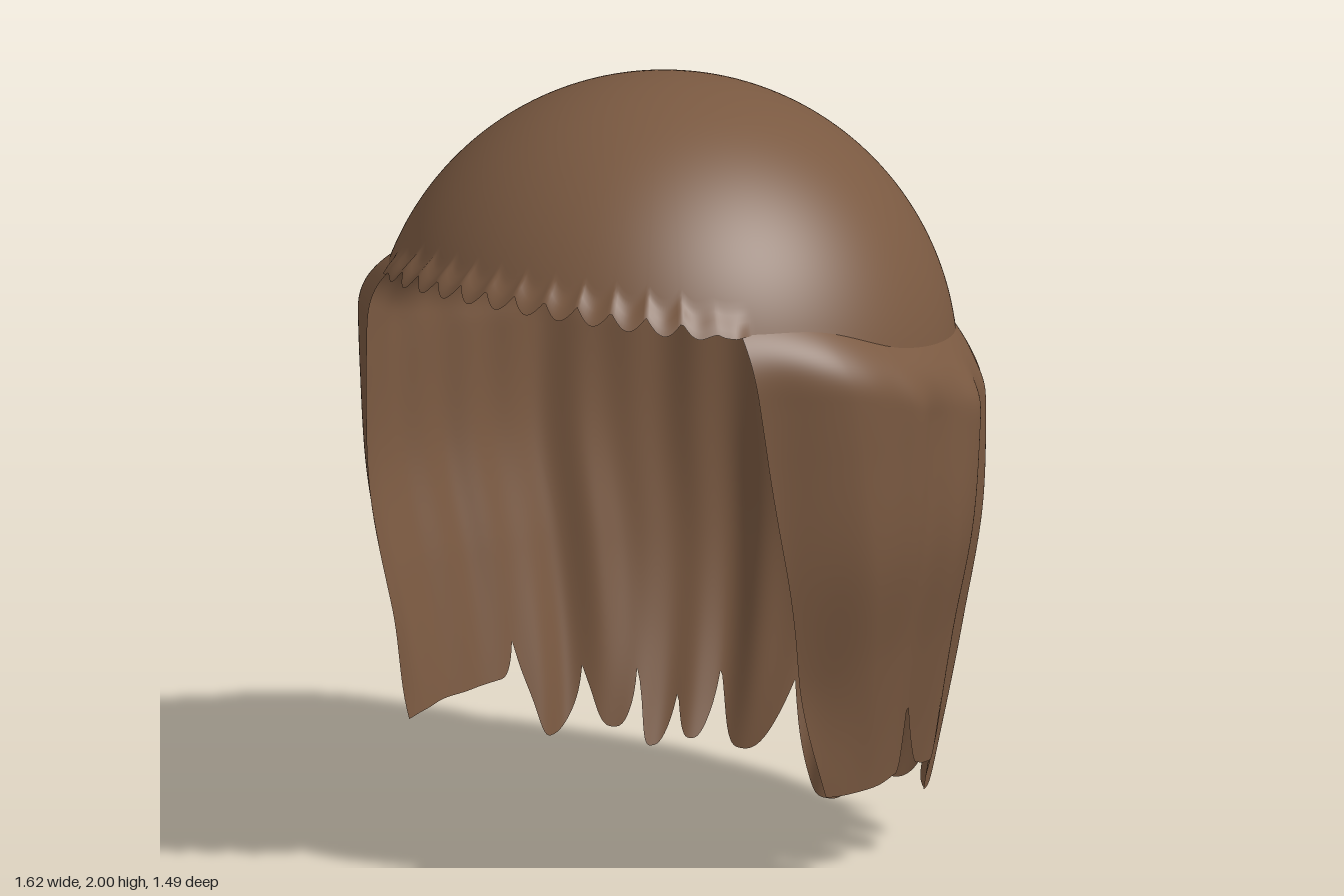
import * as THREE from 'three';
import { mergeVertices } from 'three/addons/utils/BufferGeometryUtils.js';

const { smoothstep, lerp, clamp } = THREE.MathUtils;
const CAP_R = 0.74, CAP_Y = 1.26, CAP_Z = 0.046, MID_Z = 0.03, FRONT_PHI = 2.24;

// Smooth lookup in a list of [key, value] pairs with rising keys
function profile(list) {
  const cubic = new THREE.CubicInterpolant(list.map((p) => p[0]), list.map((p) => p[1]), 1);
  const first = list[0][0], last = list[list.length - 1][0];
  return (k) => cubic.evaluate(clamp(k, first, last))[0];
}

// Smooth sheet from a rule (s, t) -> [x, y, z]; t runs downwards
function sheet(ns, nt, rule) {
  const pos = [], index = [];
  for (let i = 0; i <= ns; i++)
    for (let j = 0; j <= nt; j++) pos.push(...rule(i / ns, j / nt));
  for (let i = 0; i < ns; i++)
    for (let j = 0; j < nt; j++) {
      const a = i * (nt + 1) + j, b = a + nt + 1;
      index.push(a, a + 1, b, b, a + 1, b + 1);
    }
  let g = new THREE.BufferGeometry();
  g.setAttribute('position', new THREE.Float32BufferAttribute(pos, 3));
  g.setIndex(index);
  g = mergeVertices(g, 1e-5);
  g.computeVertexNormals();
  return g;
}

// Height where cap and curtain meet, from the back (0) to the front corners (1)
const crease = profile([[0, 1.31], [0.3, 1.335], [0.5, 1.365], [0.7, 1.42], [0.86, 1.51], [1, 1.53]]);

// Arched raised section on the back of the cap; phi is measured from the back
function bump(phi, y) {
  const across = 1 - smoothstep(Math.abs(phi + 0.02), 0.34, 0.64);
  const size = 0.06 + 0.01 * smoothstep(phi, -0.1, 0.4) + 0.004 * Math.sin(phi * 15);
  const top = 1.8 - 0.2 * (phi / 0.65) ** 2;
  return across * size * smoothstep(y, 1.3, 1.4) * (1 - smoothstep(y, top - 0.14, top));
}

// Domed cap with a small-toothed fringe along the front
function cap(s, t) {
  const psi = (s * 2 - 1) * Math.PI, a = Math.abs(psi);
  const phi = psi > 0 ? Math.PI - psi : -Math.PI - psi;
  const front = 1 - smoothstep(a, 0.84, 0.92);
  const teeth = (0.022 - 0.037 * Math.abs(Math.sin(psi * 24))) * (1 - smoothstep(a, 0.65, 0.85));
  const fringe = 1.58 - 0.055 * Math.min(1, a / 0.85) ** 2 + teeth;
  const edge = lerp(crease(Math.abs(phi) / FRONT_PHI) - 0.005, fringe, front);
  const polar = t * Math.acos((edge - CAP_Y) / CAP_R);
  const y = CAP_Y + CAP_R * Math.cos(polar);
  const flare = front * smoothstep(t, 0.92, 1) * (0.022 - 0.06 * teeth);
  const r = CAP_R * Math.sin(polar) + bump(phi, y) + flare;
  return [r * Math.sin(psi), y, CAP_Z + r * Math.cos(psi)];
}

// Curtain section sizes by height
const halfWidth = profile([[0, 0.635], [0.3, 0.672], [0.6, 0.725], [0.9, 0.788], [1.2, 0.8], [1.55, 0.8]]);
const halfDepth = profile([[0, 0.56], [0.2, 0.645], [0.4, 0.71], [0.6, 0.748], [0.9, 0.76], [1.55, 0.76]]);
const frontEdge = profile([[0, 0.2], [0.2, 0.225], [0.3, 0.265], [0.4, 0.3], [0.7, 0.38], [1, 0.45], [1.4, 0.505], [1.55, 0.52]]);

// Strand tips and the notches between them: [angle from the back, height]
const TIPS = [
  [-1.95, 0.28], [-1.6, 0.27], [-1.3, 0.28], [-1.2, 0.37], [-1.07, 0.12], [-0.92, 0.28],
  [-0.8, 0.13], [-0.71, 0.28], [-0.63, 0.08], [-0.55, 0.21], [-0.47, 0.1], [-0.39, 0.27],
  [-0.26, 0.085], [-0.08, 0.26], [0.18, 0], [0.36, 0.25], [0.53, 0.1], [0.72, 0.32],
  [0.88, 0.13], [1.02, 0.35], [1.14, 0.17], [1.24, 0.44], [1.3, 0.28], [1.38, 0.29],
  [1.46, 0.48], [1.53, 0.28], [1.7, 0.27], [1.95, 0.28],
];

function hem(phi) {
  let i = 1;
  while (i < TIPS.length - 1 && phi > TIPS[i][0]) i++;
  const [p0, y0] = TIPS[i - 1], [p1, y1] = TIPS[i];
  const f = clamp((phi - p0) / (p1 - p0), 0, 1);
  // rounded at the tip, sharp in the notch
  return y0 < y1 ? lerp(y0, y1, f ** 2.8) : lerp(y1, y0, (1 - f) ** 2.8);
}

// Hanging hair round the sides and back, rolled out from under the cap
function curtain(s, t) {
  const u = 1 - 2 * s, a = Math.abs(u);
  const top = crease(a);
  const y = lerp(top, hem(u * 1.92), t ** 1.5);
  const drop = top - y;
  const rx = halfWidth(y), rz = halfDepth(y);
  const phi = u * (Math.PI / 2 + Math.asin((frontEdge(y) - MID_Z) / rz));
  // soft vertical folds, fading towards the smooth front panels
  const calm = 1 - 0.8 * smoothstep(a, 0.62, 0.85);
  const sway = 0.12 * Math.sin(y * 4 + u * 3);
  const folds = 0.011 * Math.sin(phi * 11 + sway * 5) + 0.008 * Math.sin(phi * 19 + 1.3 + sway * 8)
    + 0.005 * Math.sin(phi * 31 + 0.5);
  // fuller on the back left than on the back right
  const lean = Math.abs(phi) < Math.PI / 2 ? 0.014 * Math.sin(phi * 2) : 0;
  const fold = (calm * folds + lean) * smoothstep(drop, 0, 0.2);
  // start on the cap and roll out to full width
  const roll = Math.sin(Math.min(1, drop / 0.16) * Math.PI / 2);
  const capR = Math.sqrt(CAP_R ** 2 - Math.max(0, y - CAP_Y) ** 2);
  const x = lerp(capR, rx + fold, roll), z = lerp(capR, rz + fold, roll);
  // front edges curl inwards
  const curl = 1 - 0.06 * smoothstep(a, 0.86, 1) * smoothstep(y, 0.25, 0.6) * roll;
  return [x * curl * Math.sin(phi), y, lerp(CAP_Z, MID_Z, roll) - z * Math.cos(phi)];
}

export function createModel() {
  const group = new THREE.Group();
  group.name = 'wig';
  const brown = new THREE.MeshStandardMaterial({ color: 0x7a5941, side: THREE.DoubleSide });
  brown.name = 'brown hair';

  const add = (name, geometry) => {
    const mesh = new THREE.Mesh(geometry, brown);
    mesh.name = name;
    group.add(mesh);
  };
  add('hairCap', sheet(600, 48, cap));
  add('hairCurtain', sheet(480, 64, curtain));
  return group;
}
